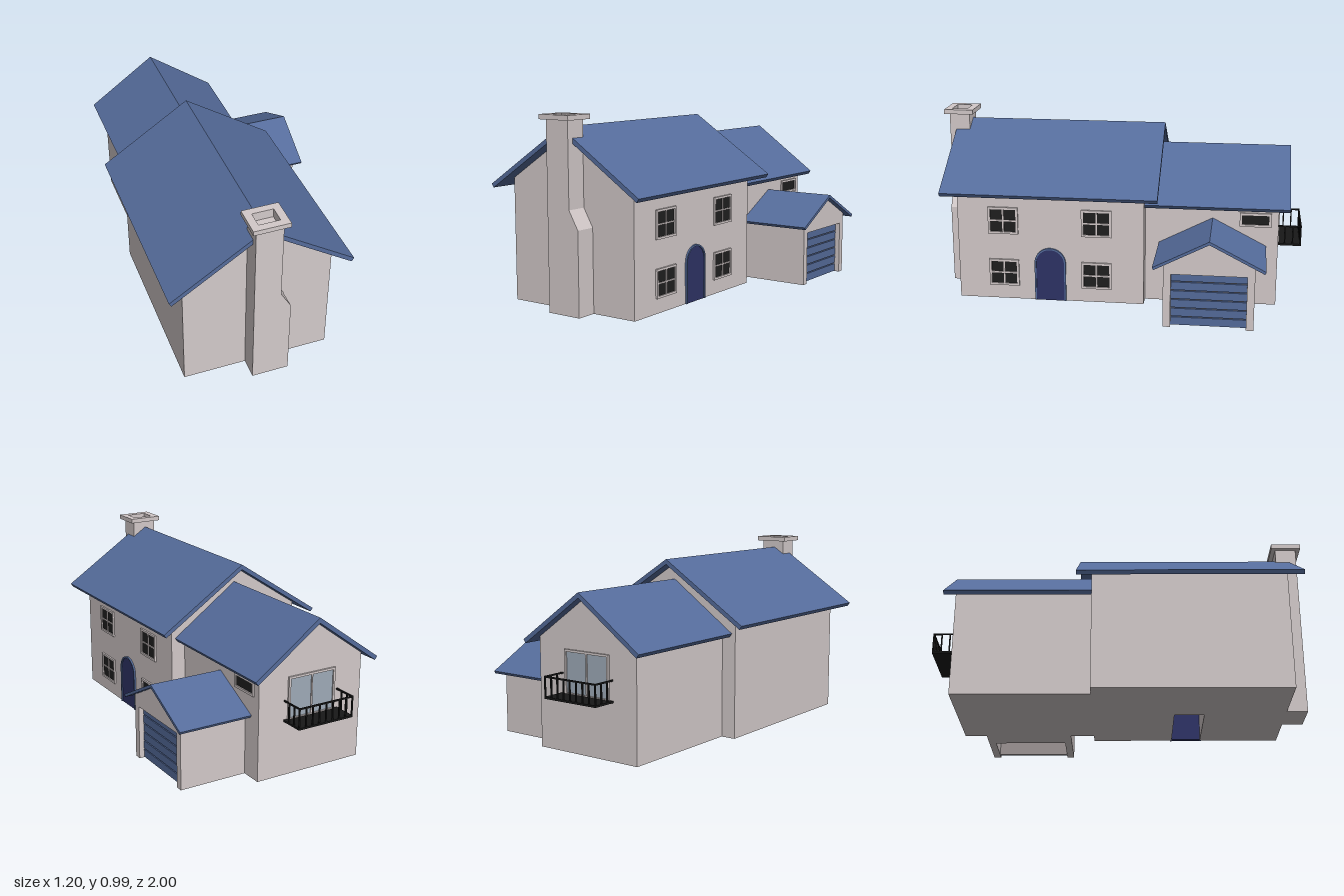
import * as THREE from 'three';

const mat = (color) => new THREE.MeshStandardMaterial({ color, flatShading: true });
const WALL = mat(0xd3caca), ROOF = mat(0x556c9b), DOOR = mat(0x2e3366), TRIM = mat(0x9c9494);
const PANE = mat(0x1f1f1f), GLASS = mat(0x9fabb8), IRON = mat(0x181818);

function add(parent, name, geometry, material) {
  const mesh = new THREE.Mesh(geometry, material);
  mesh.name = name;
  parent.add(mesh);
  return mesh;
}

function group(parent, name, x = 0, y = 0, z = 0, turn = 0) {
  const g = new THREE.Group();
  g.name = name;
  g.position.set(x, y, z);
  g.rotation.y = turn;
  parent.add(g);
  return g;
}

// Box given by its limits on each axis
function box(parent, name, material, [x0, x1], [y0, y1], [z0, z1]) {
  const m = add(parent, name, new THREE.BoxGeometry(x1 - x0, y1 - y0, z1 - z0), material);
  m.position.set((x0 + x1) / 2, (y0 + y1) / 2, (z0 + z1) / 2);
  return m;
}

const polygon = (pts) => new THREE.Shape(pts.map(([x, y]) => new THREE.Vector2(x, y)));

function extrude(shape, z0, z1) {
  const g = new THREE.ExtrudeGeometry(shape, { depth: z1 - z0, bevelEnabled: false, curveSegments: 16 });
  return g.translate(0, 0, z0);
}

// Rectangle outline with a rectangular hole
function frameShape(w, h, holeW, holeH) {
  const rect = (a, b) => [[-a / 2, -b / 2], [a / 2, -b / 2], [a / 2, b / 2], [-a / 2, b / 2]];
  const s = polygon(rect(w, h));
  s.holes.push(polygon(rect(holeW, holeH)));
  return s;
}

// Gabled wall section; base lists the lower outline from left to right
function gable({ half, top, slope, thick }, base = [[-half, 0], [half, 0]]) {
  const apex = top - thick * Math.hypot(1, slope);
  const eave = apex - half * slope;
  return polygon([...base, [half, eave], [0, apex], [-half, eave]]);
}

// Two roof slabs meeting at the ridge, cut square at the eaves
function roofShape({ span, top, slope, thick }) {
  const l = Math.hypot(1, slope);
  const y = top - span * slope, bx = span - thick * slope / l, by = y - thick / l;
  return polygon([[-span, y], [-bx, by], [0, top - thick * l], [bx, by], [span, y], [0, top]]);
}

// Framed window facing local +z
function windowUnit(parent, name, w, h, cols, rows, glass, x, y, z, turn) {
  const g = group(parent, name, x, y, z, turn), b = 0.012;
  add(g, 'windowFrame', extrude(frameShape(w, h, w - 2 * b, h - 2 * b), -0.005, 0.01), WALL);
  box(g, 'windowPane', glass, [-w / 2 + b, w / 2 - b], [-h / 2 + b, h / 2 - b], [-0.005, 0.003]);
  for (let i = 1; i < cols; i++) {
    const c = -w / 2 + (w * i) / cols;
    box(g, 'mullion', WALL, [c - 0.004, c + 0.004], [-h / 2 + b, h / 2 - b], [0, 0.008]);
  }
  for (let i = 1; i < rows; i++) {
    const c = -h / 2 + (h * i) / rows;
    box(g, 'glazingBar', WALL, [-w / 2 + b, w / 2 - b], [c - 0.004, c + 0.004], [0, 0.008]);
  }
}

function arch(r, straight) {
  const s = new THREE.Shape();
  s.moveTo(-r, 0);
  s.lineTo(r, 0);
  s.lineTo(r, straight);
  s.absarc(0, straight, r, 0, Math.PI, false);
  s.closePath();
  return s;
}

function archFrame(r, inner, straight) {
  const s = new THREE.Shape();
  s.moveTo(inner, 0);
  s.lineTo(r, 0);
  s.lineTo(r, straight);
  s.absarc(0, straight, r, 0, Math.PI, false);
  s.lineTo(-r, 0);
  s.lineTo(-inner, 0);
  s.lineTo(-inner, straight);
  s.absarc(0, straight, inner, Math.PI, 0, true);
  s.closePath();
  return s;
}

export function createModel() {
  const house = new THREE.Group();
  house.name = 'house';
  const side = Math.PI / 2, ridgeX = -0.121;

  // Main block, with a low passage behind the front door
  const main = { half: 0.392, span: 0.48, top: 0.93, slope: 0.656, thick: 0.023 };
  const block = group(house, 'mainBlock', ridgeX);
  const passage = [[-0.392, 0], [-0.01, 0], [-0.01, 0.2], [0.392, 0.2]];
  add(block, 'mainWallsBack', extrude(gable(main), -0.155, 0.278), WALL);
  add(block, 'mainWallsDoorway', extrude(gable(main, passage), 0.278, 0.436), WALL);
  add(block, 'mainWallsFront', extrude(gable(main), 0.436, 0.865), WALL);
  add(block, 'mainRoof', extrude(roofShape(main), -0.232, 0.94), ROOF);

  // Lower rear wing
  const rear = { half: 0.312, span: 0.37, top: 0.82, slope: 0.71, thick: 0.023 };
  const wing = group(house, 'rearWing', ridgeX);
  add(wing, 'wingWalls', extrude(gable(rear), -0.868, -0.155), WALL);
  add(wing, 'wingRoof', extrude(roofShape(rear), -0.925, -0.155), ROOF);

  // Garage, its ridge running along x
  const car = { half: 0.234, span: 0.288, top: 0.483, slope: 0.515, thick: 0.015 };
  const garage = group(house, 'garage', 0, 0, -0.517, side);
  const o = 0.195;
  const opening = [[-0.234, 0], [-o, 0], [-o, 0.29], [o, 0.29], [o, 0], [0.234, 0]];
  add(garage, 'garageWallsBack', extrude(gable(car), 0.191, 0.31), WALL);
  add(garage, 'garageWallsFront', extrude(gable(car, opening), 0.31, 0.562), WALL);
  add(garage, 'garageRoof', extrude(roofShape(car), 0.191, 0.596), ROOF);
  box(garage, 'garageDoorBacking', TRIM, [-o, o], [0.002, 0.29], [0.515, 0.524]);
  for (let i = 0; i < 6; i++) {
    const y = i * 0.0483;
    box(garage, 'garageDoorSlat', ROOF, [-o, o], [y + 0.003, y + 0.0455], [0.52, 0.535]);
  }

  // Chimney with a sloped shoulder and an open cap
  const chimney = group(house, 'chimney');
  const stack = polygon([[-0.182, 0], [0.013, 0], [0.013, 0.435], [-0.042, 0.53], [-0.042, 0.945], [-0.182, 0.945]]);
  add(chimney, 'chimneyStack', extrude(stack, 0.862, 0.975), WALL);
  const collar = add(chimney, 'chimneyThroat', extrude(frameShape(0.14, 0.113, 0.11, 0.085), 0, 0.025), WALL);
  collar.position.set(-0.112, 0.944, 0.9185);
  const cap = add(chimney, 'chimneyCap', extrude(frameShape(0.189, 0.162, 0.11, 0.085), 0, 0.025), WALL);
  cap.position.set(-0.112, 0.967, 0.919);
  collar.rotation.x = cap.rotation.x = -side;

  // Arched front door
  const entry = group(house, 'frontDoor', 0.271, 0, 0.357, side);
  add(entry, 'doorPanel', extrude(arch(0.08, 0.215), -0.02, 0.004), DOOR);
  add(entry, 'doorFrame', extrude(archFrame(0.086, 0.077, 0.215), -0.01, 0.01), ROOF);

  // Windows
  for (const z of [0.613, 0.102])
    for (const y of [0.45, 0.153])
      windowUnit(house, 'sideWindow', 0.165, 0.15, 2, 2, PANE, 0.271, y, z, side);
  windowUnit(house, 'wingWindow', 0.168, 0.076, 1, 1, PANE, 0.191, 0.48, -0.745, side);
  windowUnit(house, 'balconyDoor', 0.285, 0.23, 2, 1, GLASS, -0.123, 0.41, -0.868, Math.PI);

  // Balcony with iron railing
  const balcony = group(house, 'balcony');
  const L = -0.288, R = 0.042, back = -0.866, edge = -0.998, t = 0.007;
  box(balcony, 'balconyFloor', IRON, [L, R], [0.292, 0.302], [edge, back]);
  box(balcony, 'frontRail', IRON, [L, R], [0.398, 0.406], [edge, edge + t]);
  for (let i = 0; i <= 8; i++) {
    const x = L + ((R - L - t) * i) / 8;
    box(balcony, 'baluster', IRON, [x, x + t], [0.3, 0.4], [edge, edge + t]);
  }
  for (const x of [L, R - t]) {
    box(balcony, 'sideRail', IRON, [x, x + t], [0.398, 0.406], [edge, back]);
    for (const z of [-0.955, -0.912])
      box(balcony, 'baluster', IRON, [x, x + t], [0.3, 0.4], [z, z + t]);
  }
  return house;
}
